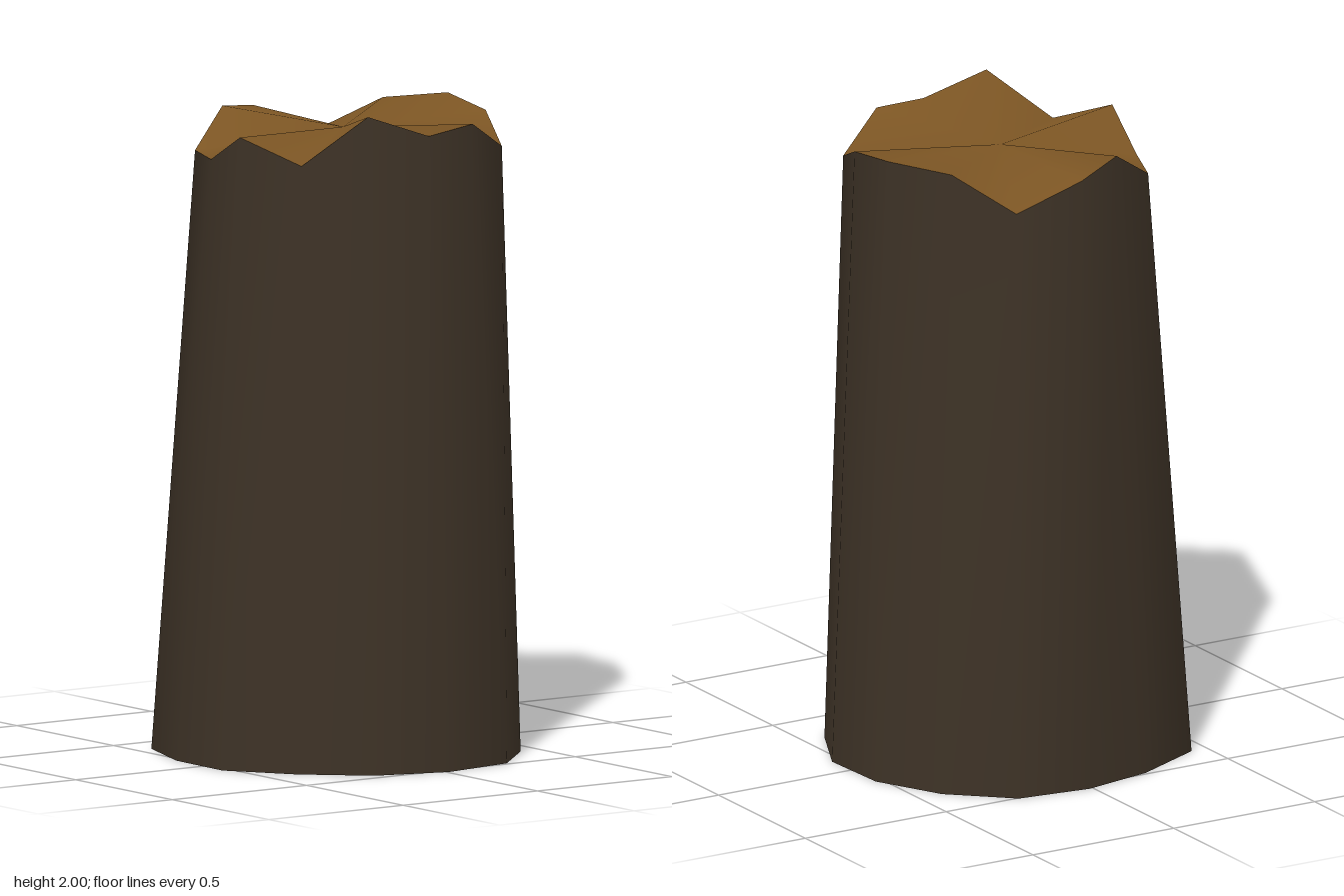
import * as THREE from 'three';

// Outline at the ground: x, z
const base = [
  [0.53, -0.01], [0.46, 0.22], [0.30, 0.395], [0.105, 0.53], [-0.14, 0.525],
  [-0.38, 0.445], [-0.49, 0.215], [-0.535, -0.01], [-0.505, -0.245],
  [-0.345, -0.42], [-0.135, -0.525], [0.10, -0.535], [0.315, -0.43], [0.487, -0.255],
].map(([x, z]) => [x, 0, z]);

// Jagged broken rim: x, y, z
const rim = [
  [0.425, 1.93, -0.01], [0.38, 2, 0.185], [0.265, 1.85, 0.35], [0.085, 1.925, 0.45],
  [-0.12, 1.83, 0.41], [-0.30, 1.83, 0.34], [-0.395, 1.94, 0.17], [-0.485, 1.915, -0.01],
  [-0.435, 1.83, -0.21], [-0.28, 1.935, -0.345], [-0.125, 1.957, -0.475],
  [0.085, 1.93, -0.465], [0.28, 1.85, -0.385], [0.38, 1.945, -0.205],
];
const N = base.length;

function smoothMesh(name, points, index, material) {
  const geometry = new THREE.BufferGeometry();
  geometry.setAttribute('position', new THREE.Float32BufferAttribute(points.flat(), 3));
  geometry.setIndex(index);
  geometry.computeVertexNormals();
  const mesh = new THREE.Mesh(geometry, material);
  mesh.name = name;
  return mesh;
}

// Fan of triangles from a centre point to a ring
function fan(name, ring, centre, up, material) {
  const index = [];
  for (let i = 0; i < N; i++) {
    const j = (i + 1) % N;
    index.push(N, ...(up ? [j, i] : [i, j]));
  }
  return smoothMesh(name, [...ring, centre], index, material);
}

export function createModel() {
  const bark = new THREE.MeshStandardMaterial({ color: 0x3d3226 });
  bark.name = 'dark bark';
  const wood = new THREE.MeshStandardMaterial({ color: 0x7d5624 });
  wood.name = 'bare wood';

  // Tapering bark wall between the two rings
  const wall = [];
  for (let i = 0; i < N; i++) {
    const j = (i + 1) % N;
    wall.push(i, N + i, j, j, N + i, N + j);
  }

  const stump = new THREE.Group();
  stump.name = 'treeStump';
  stump.add(
    smoothMesh('barkWall', [...base, ...rim], wall, bark),
    fan('brokenTop', rim, [-0.02, 1.905, -0.01], true, wood),
    fan('underside', base, [0, 0, 0], false, bark),
  );
  return stump;
}
